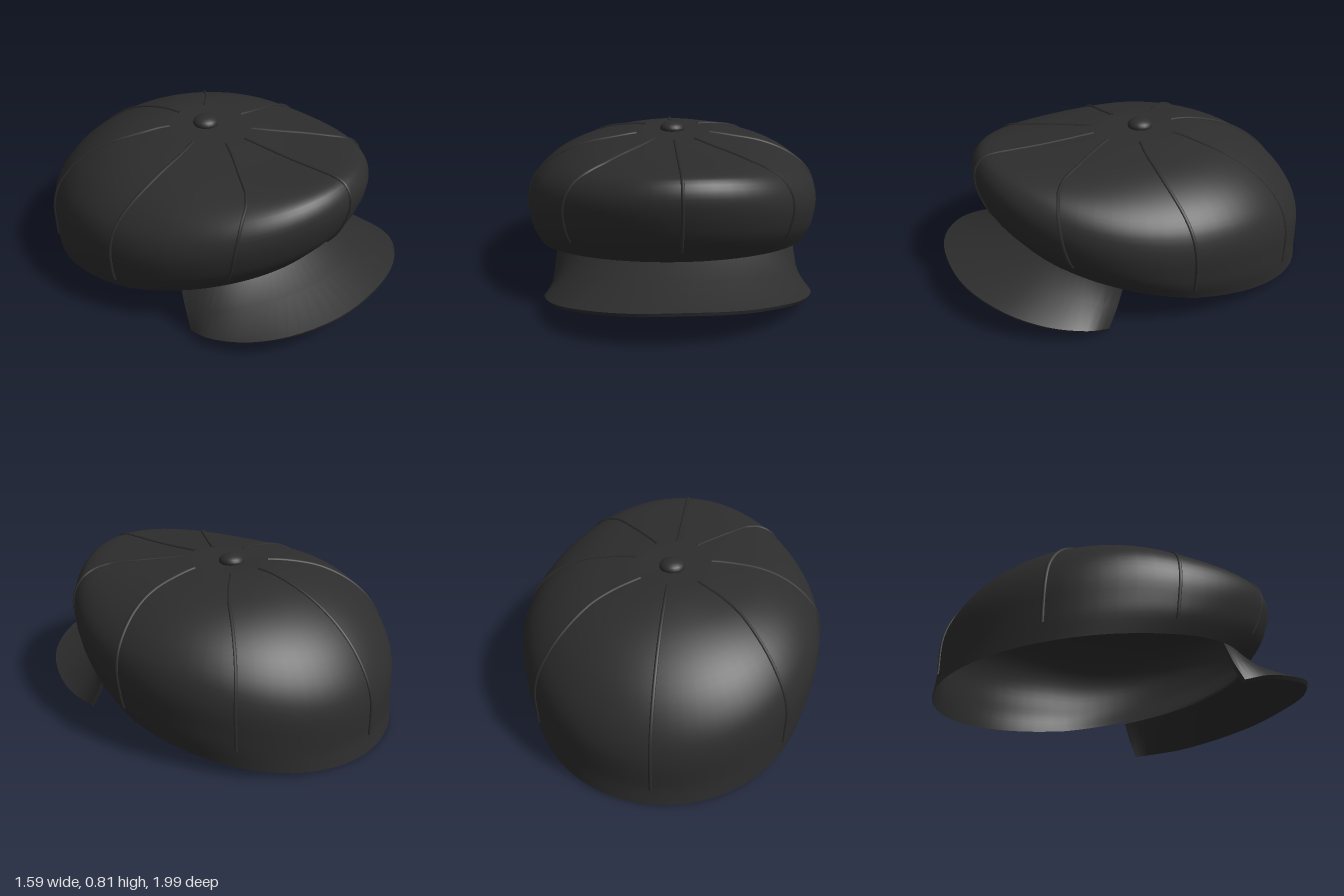
import * as THREE from 'three';
import { mergeVertices, toCreasedNormals } from 'three/addons/utils/BufferGeometryUtils.js';

const CENTRE_Z = -0.08;
const V = (x, y, z) => new THREE.Vector3(x, y, z);
const profile = (pts) => new THREE.CatmullRomCurve3(pts.map(([r, y]) => V(r, y, 0)));

// Crown outlines from the button to the rim, as [radius, height]
const front = profile([[0, .775], [.12, .775], [.25, .775], [.4, .765], [.55, .757], [.7, .754], [.8, .75],
  [.85, .733], [.885, .68], [.89, .61], [.86, .5], [.82, .42], [.72, .295]]);
const side = profile([[0, .775], [.1, .775], [.2, .775], [.33, .757], [.45, .735], [.55, .7], [.64, .65],
  [.71, .59], [.76, .52], [.785, .42], [.778, .31], [.765, .235], [.732, .152]]);
const back = profile([[0, .775], [.12, .78], [.25, .78], [.37, .758], [.5, .715], [.63, .645], [.74, .555],
  [.82, .455], [.87, .36], [.893, .27], [.897, .17], [.897, .1], [.91, .008]]);

// Point on the crown: t runs from button to rim, a is the angle from the front
function crownPoint(t, a) {
  const c = Math.cos(a), s = Math.sin(a);
  const lengthwise = (c >= 0 ? front : back).getPoint(t), across = side.getPoint(t);
  const blend = Math.abs(c) ** (2 - t ** 3); // the rim slopes evenly from front to back
  const taper = 1 - .08 * c * t ** 6; // the rim is narrower at the front
  return V(s * across.x * taper, THREE.MathUtils.lerp(across.y, lengthwise.y, blend), CENTRE_Z + c * lengthwise.x);
}

// Inside of the crown, meeting the cloth at the rim
function liningPoint(t, a) {
  const p = crownPoint(t, a);
  const inward = V(0, .35, CENTRE_Z).sub(p).setLength(.022 * (1 - t ** 12));
  return p.add(inward);
}

// Grid surface through point(i, j); its front faces du x dv
function surface(nu, nv, point) {
  const pos = [], idx = [];
  for (let i = 0; i <= nu; i++) for (let j = 0; j <= nv; j++) pos.push(...point(i, j).toArray());
  for (let i = 0; i < nu; i++) for (let j = 0; j < nv; j++) {
    const p = i * (nv + 1) + j, q = p + nv + 1;
    idx.push(p, q, p + 1, q, q + 1, p + 1);
  }
  const g = new THREE.BufferGeometry();
  g.setAttribute('position', new THREE.Float32BufferAttribute(pos, 3));
  g.setIndex(idx);
  const merged = mergeVertices(g, 1e-5);
  merged.computeVertexNormals();
  return merged;
}

// Curved peak: a thin closed section swept round the front of the rim
function visorGeometry() {
  const half = [[.27, .188, .955], [.5, .152, .82], [.62, .105, .65], [.67, .065, .47], [.65, .03, .35]];
  const edge = new THREE.CatmullRomCurve3([
    ...half.slice().reverse().map(([x, y, z]) => V(-x, y, z)), V(0, .203, .995), ...half.map((p) => V(...p)),
  ]);
  const n = 40, spread = 1.07;
  const section = (k) => {
    const s = k / n, inner = crownPoint(1, (2 * s - 1) * spread), outer = edge.getPoint(s);
    const mid = inner.clone().lerp(outer, .4);
    mid.y -= .016;
    const under = (p) => V(p.x * .98, p.y - .018, p.z - .004);
    return [inner, mid, outer, under(outer), under(mid), under(inner), inner];
  };
  const g = surface(6, n + 2, (i, j) => {
    const ring = section(Math.min(Math.max(j - 1, 0), n));
    if (j > 0 && j < n + 2) return ring[i];
    return ring[0].clone().add(ring[2]).add(ring[3]).add(ring[5]).multiplyScalar(.25);
  });
  return toCreasedNormals(g, 0.7);
}

export function createModel() {
  const cap = new THREE.Group();
  cap.name = 'flatCap';
  const cloth = new THREE.MeshStandardMaterial({ color: 0x2d2d2d, side: THREE.DoubleSide });
  cloth.name = 'charcoalCloth';
  const add = (name, geometry) => {
    const mesh = new THREE.Mesh(geometry, cloth);
    mesh.name = name;
    cap.add(mesh);
    return mesh;
  };

  // Open-bottomed crown with a lining
  const rows = 36, cols = 64;
  const shell = (point) => surface(rows, cols, (i, j) => point(i / rows, (j % cols) / cols * Math.PI * 2));
  add('crown', shell(crownPoint));
  add('lining', shell(liningPoint));

  add('visor', visorGeometry());

  // Raised panel seams: [start angle, end angle, start t, end t], angles in degrees
  const seam = (name, [a0, a1, t0, t1], sign = 1) => {
    const pts = Array.from({ length: 25 }, (_, k) => {
      const f = k / 24, bend = 1 - (1 - f) ** 2.5;
      return crownPoint(t0 + (t1 - t0) * f, sign * THREE.MathUtils.degToRad(a0 + (a1 - a0) * bend));
    });
    add(name, new THREE.TubeGeometry(new THREE.CatmullRomCurve3(pts), 48, .009, 6));
  };
  seam('frontSeam', [0, 0, .17, .95]);
  seam('backSeam', [180, 180, .125, .92]);
  const pairs = {
    frontDiagonalSeam: [31, 46, .17, .92],
    sideSeam: [73, 88, .17, .935],
    backDiagonalSeam: [125, 129, .15, .92],
  };
  for (const [name, path] of Object.entries(pairs)) {
    seam(name + 'Left', path, 1);
    seam(name + 'Right', path, -1);
  }

  // Covered button on top
  const button = add('button', new THREE.SphereGeometry(.066, 20, 12));
  button.scale.y = .55;
  button.position.set(0, .784, -.085);

  return cap;
}
